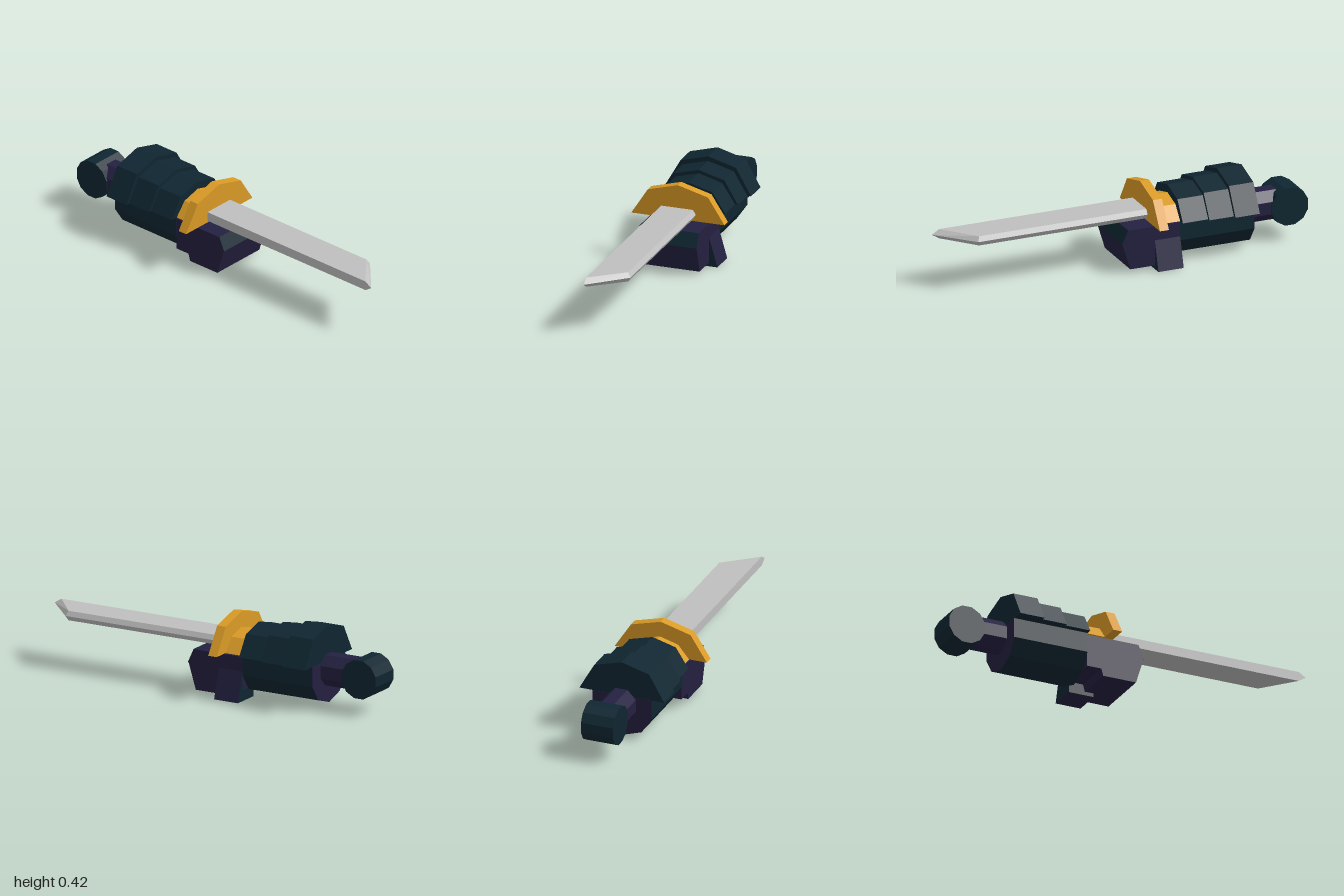
import * as THREE from 'three';

const mat = (name, color) => {
  const m = new THREE.MeshStandardMaterial({ color });
  m.name = name;
  return m;
};

export function createModel() {
  const group = new THREE.Group();
  const teal = mat('dark teal', 0x0f2631);
  const purple = mat('dark purple', 0x242041);
  const gold = mat('gold', 0xdb9b26);
  const steel = mat('steel', 0xbfbfbf);

  const add = (name, geo, material) => {
    const mesh = new THREE.Mesh(geo, material);
    mesh.name = name;
    group.add(mesh);
    return mesh;
  };
  const shapeOf = (pts) => new THREE.Shape(pts.map(([a, b]) => new THREE.Vector2(a, b)));

  // Prism along x from a [z, y] profile
  const prismX = (pts, x0, x1) =>
    new THREE.ExtrudeGeometry(shapeOf(pts.map(([z, y]) => [-z, y])), { depth: x1 - x0, bevelEnabled: false })
      .rotateY(Math.PI / 2).translate(x0, 0, 0);
  // Prism along z from an [x, y] profile
  const prismZ = (pts, z0, z1) =>
    new THREE.ExtrudeGeometry(shapeOf(pts), { depth: z1 - z0, bevelEnabled: false }).translate(0, 0, z0);
  // Five-sided arch standing on y = 0.24
  const arch = (w, shoulderW, shoulderY, top, c = -0.003) =>
    [[c + w, 0.24], [c + shoulderW, shoulderY], [c, top], [c - shoulderW, shoulderY], [c - w, 0.24]];

  // Elbow joint and the arm link behind the forearm
  add('elbow', new THREE.CylinderGeometry(0.1035, 0.1035, 0.175, 12, 1, false, Math.PI / 12)
    .rotateX(Math.PI / 2).translate(-0.9, 0.19, -0.003).toNonIndexed(), teal).geometry.computeVertexNormals();
  const link = [];
  for (let i = 0; i < 8; i++) {
    const a = (i + 0.5) * Math.PI / 4;
    link.push([-0.005 + 0.0866 * Math.cos(a), 0.195 + 0.0866 * Math.sin(a)]);
  }
  add('armLink', prismX(link, -0.86, -0.66), purple);

  // Stepped armour shells over the forearm
  [
    [-0.67, -0.535, 0.232, 0.15, 0.383, 0.425],
    [-0.535, -0.4, 0.212, 0.138, 0.363, 0.4],
    [-0.4, -0.26, 0.196, 0.127, 0.347, 0.382],
  ].forEach(([x0, x1, w, sw, sy, top], i) =>
    add('armShell' + (i + 1), prismX(arch(w, sw, sy, top), x0, x1), teal));

  // Lower forearm with a purple rear cap
  const lower = [[0.16, 0.24], [0.16, 0.135], [0.105, 0.052], [0, 0.018],
    [-0.105, 0.052], [-0.163, 0.135], [-0.163, 0.24]];
  add('lowerForearm', prismX(lower, -0.668, -0.26), teal);
  add('forearmRearCap', prismX(lower, -0.672, -0.668), purple);

  // Gold wrist cuff and blade guard
  add('wristCuff', prismX(arch(0.16, 0.1, 0.312, 0.34, -0.005), -0.26, -0.16), gold);
  add('bladeGuard', prismX(arch(0.252, 0.163, 0.378, 0.423, 0), -0.16, -0.11), gold);

  // Fist with a teal knuckle plate
  add('fist', prismZ([[-0.26, 0.06], [-0.18, 0.06], [-0.17, 0.022], [0.015, 0.022],
    [0.058, 0.162], [0.025, 0.234], [-0.26, 0.234]], -0.165, 0.155), purple);
  add('knucklePlate', prismZ([[0.058, 0.162], [0.061, 0.163], [0.028, 0.235], [0.025, 0.234]],
    -0.165, 0.155), teal);

  // Thumb: teal ends, purple back, teal inner face
  add('thumb', prismX([[-0.06, 0.002], [-0.06, 0.165], [-0.163, 0.165], [-0.21, 0.002]],
    -0.26, -0.12), [teal, purple]);
  add('thumbInnerFace', new THREE.BoxGeometry(0.14, 0.06, 0.003).translate(-0.19, 0.032, -0.059), teal);

  // Blade from three outlines: top, sharp middle edge, bottom
  const flat = [[-0.12, 0.09], [0.96, 0.09], [0.815, -0.082], [-0.12, -0.082]];
  const edge = [[-0.12, 0.09], [1, 0.09], [0.825, -0.097], [-0.12, -0.097]];
  const rings = [[flat, 0.25], [edge, 0.275], [flat, 0.3]]
    .map(([pts, y]) => pts.map(([x, z]) => [x, y, z]));
  const pos = [];
  const quad = (a, b, c, d) => [a, b, c, a, c, d].forEach((p) => pos.push(...p));
  for (let r = 0; r < 2; r++) {
    for (let i = 0; i < 4; i++) {
      const j = (i + 1) % 4;
      quad(rings[r][i], rings[r][j], rings[r + 1][j], rings[r + 1][i]);
    }
  }
  quad(...rings[2]);
  quad(...[...rings[0]].reverse());
  const bladeGeo = new THREE.BufferGeometry();
  bladeGeo.setAttribute('position', new THREE.Float32BufferAttribute(pos, 3));
  bladeGeo.computeVertexNormals();
  add('blade', bladeGeo, steel);

  return group;
}
